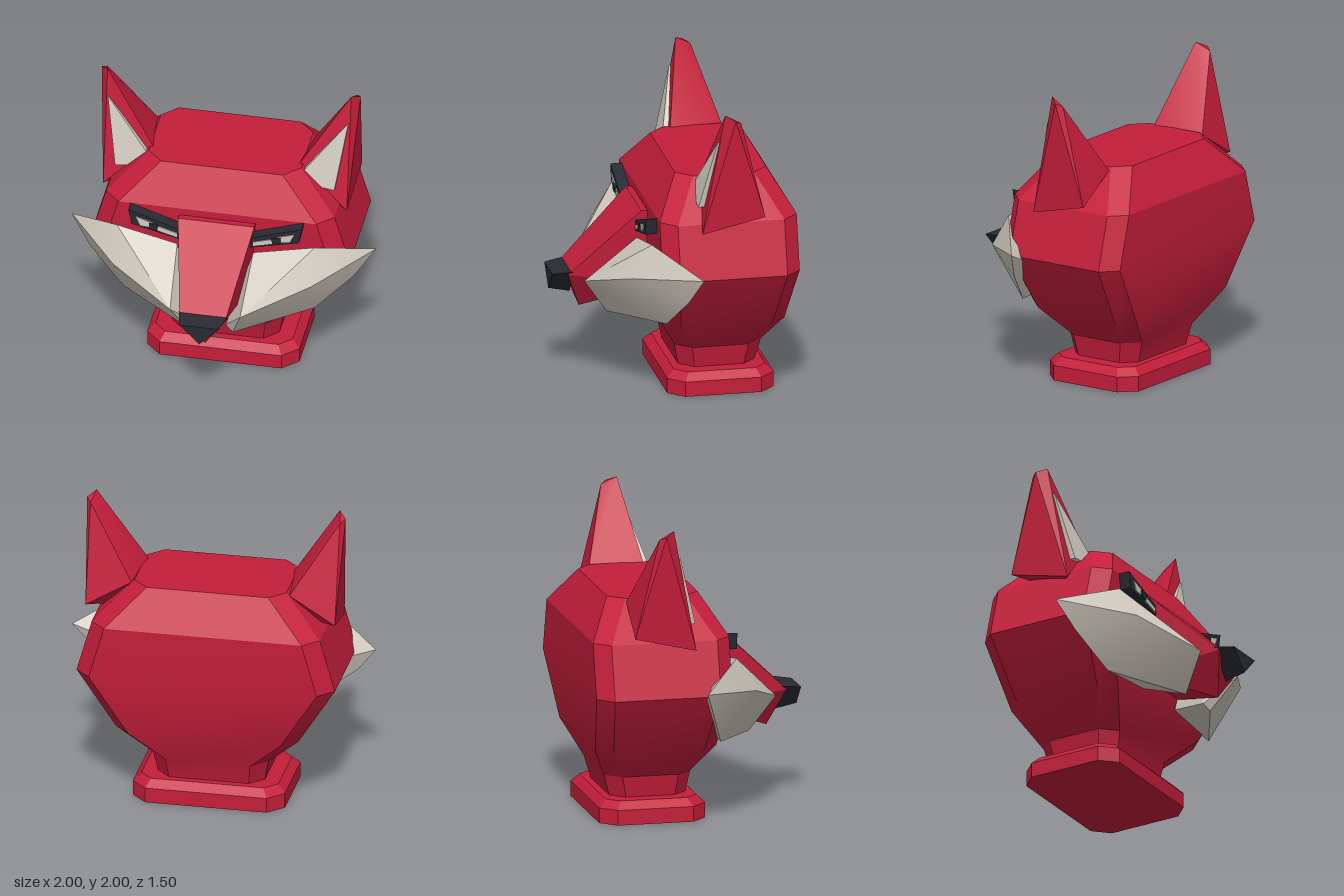
import * as THREE from 'three';
import { toCreasedNormals } from 'three/addons/utils/BufferGeometryUtils.js';
import { ConvexGeometry } from 'three/addons/geometries/ConvexGeometry.js';

const flat = (name, color) => {
  const m = new THREE.MeshStandardMaterial({ color });
  m.name = name;
  return m;
};

// Stack of chamfered rectangles: [y, half width, front z, back z, chamfer]
function loft(rings) {
  const pos = [];
  const loops = rings.map(([y, w, f, b, c]) => [
    [w, f - c], [w, b + c], [w - c, b], [c - w, b],
    [-w, b + c], [-w, f - c], [c - w, f], [w - c, f],
  ].map(([x, z]) => [x, y, z]));
  const tri = (...p) => p.forEach((v) => pos.push(...v));
  for (let r = 0; r < loops.length - 1; r++) {
    for (let i = 0; i < 8; i++) {
      const j = (i + 1) % 8, lo = loops[r], hi = loops[r + 1];
      tri(lo[i], lo[j], hi[j]);
      tri(lo[i], hi[j], hi[i]);
    }
  }
  const bottom = loops[0], top = loops[loops.length - 1];
  for (let i = 1; i < 7; i++) {
    tri(bottom[0], bottom[i + 1], bottom[i]);
    tri(top[0], top[i], top[i + 1]);
  }
  const g = new THREE.BufferGeometry();
  g.setAttribute('position', new THREE.Float32BufferAttribute(pos, 3));
  return toCreasedNormals(g, 0.5);
}

// Faceted solid around a few corner points, optionally mirrored in x
function hull(points, side = 1, crease = 0.15) {
  const g = new ConvexGeometry(points.map(([x, y, z]) => new THREE.Vector3(x * side, y, z)));
  return toCreasedNormals(g, crease);
}

// Convex outline in x, y given thickness from z0 to z1
const slab = (outline, z0, z1, side) =>
  hull(outline.flatMap(([x, y]) => [[x, y, z0], [x, y, z1]]), side);

export function createModel() {
  const model = new THREE.Group();
  const red = flat('red fur', 0xc41e3a);
  const cream = flat('pale grey fur', 0xd1cabf);
  const black = flat('charcoal', 0x282b33);
  const add = (name, geometry, material) => {
    const mesh = new THREE.Mesh(geometry, material);
    mesh.name = name;
    model.add(mesh);
  };

  // Plinth, neck and head
  add('base', loft([
    [0, 0.5, 0.05, -0.65, 0.1],
    [0.1, 0.5, 0.05, -0.65, 0.1],
    [0.15, 0.45, 0, -0.6, 0.08],
  ]), red);
  add('neckAndHead', loft([
    [0.14, 0.35, -0.05, -0.55, 0.09],
    [0.29, 0.38, -0.02, -0.59, 0.1],
    [0.5, 0.6, 0.1, -0.7, 0.1],
    [0.9, 0.85, 0.15, -0.75, 0.1],
    [1.25, 0.75, 0.15, -0.75, 0.1],
    [1.5, 0.5, 0, -0.6, 0.1],
  ]), red);

  // Snout with a keeled underside, and the wedge nose
  add('snout', hull([
    [0.25, 1.2, 0.19], [-0.25, 1.2, 0.19], [0.25, 1.2, 0.1], [-0.25, 1.2, 0.1],
    [0.15, 0.76, 0.65], [-0.15, 0.76, 0.65], [0, 0.5, 0.55],
    [0.22, 0.68, 0.1], [-0.22, 0.68, 0.1],
  ]), red);
  add('nose', hull([
    [0.16, 0.78, 0.62], [-0.16, 0.78, 0.62], [0, 0.6, 0.61],
    [0.13, 0.765, 0.75], [-0.13, 0.765, 0.75], [0, 0.63, 0.75],
  ]), black);

  for (const side of [1, -1]) {
    const label = side > 0 ? 'left' : 'right';

    // Cheek ruff
    add(label + 'Cheek', hull([
      [0.25, 1.02, 0.22], [0.65, 1.1, 0.2], [1, 0.95, -0.07],
      [0.65, 0.88, 0.33], [0.23, 0.74, 0.56], [0.87, 0.77, 0],
      [0.63, 0.55, 0.1], [0.15, 0.5, 0.4], [0.1, 0.54, 0.38], [0.2, 0.6, 0.08],
    ], side, 0.5), cream);

    // Ear with a raised lining
    add(label + 'Ear', hull([
      [0.8, 1.2, -0.1], [0.48, 1.5, -0.15], [0.52, 1.48, -0.5], [0.82, 1.3, -0.51],
      [0.8, 2, -0.25], [0.85, 1.97, -0.31], [0.82, 1.95, -0.35], [0.55, 1.25, -0.3],
    ], side, 0.4), red);
    add(label + 'EarLining', hull([
      [0.79, 1.82, -0.205], [0.72, 1.36, -0.09], [0.64, 1.37, -0.09], [0.52, 1.48, -0.11],
      [0.79, 1.81, -0.23], [0.72, 1.36, -0.15], [0.64, 1.37, -0.15], [0.52, 1.48, -0.17],
    ], side), cream);

    // Slanted eye socket, two slivers of eye and the pupil between them
    add(label + 'EyeSocket',
      slab([[0.57, 1.25], [0.55, 1.14], [0.23, 1.06], [0.23, 1.135]], 0.13, 0.225, side), black);
    add(label + 'EyeOuter',
      slab([[0.52, 1.205], [0.41, 1.17], [0.43, 1.135], [0.49, 1.14]], 0.224, 0.232, side), cream);
    add(label + 'EyeInner',
      slab([[0.38, 1.15], [0.25, 1.11], [0.25, 1.08], [0.375, 1.115]], 0.224, 0.232, side), cream);
    add(label + 'Pupil',
      slab([[0.43, 1.17], [0.37, 1.155], [0.38, 1.115], [0.43, 1.13]], 0.224, 0.24, side), black);
  }
  return model;
}
